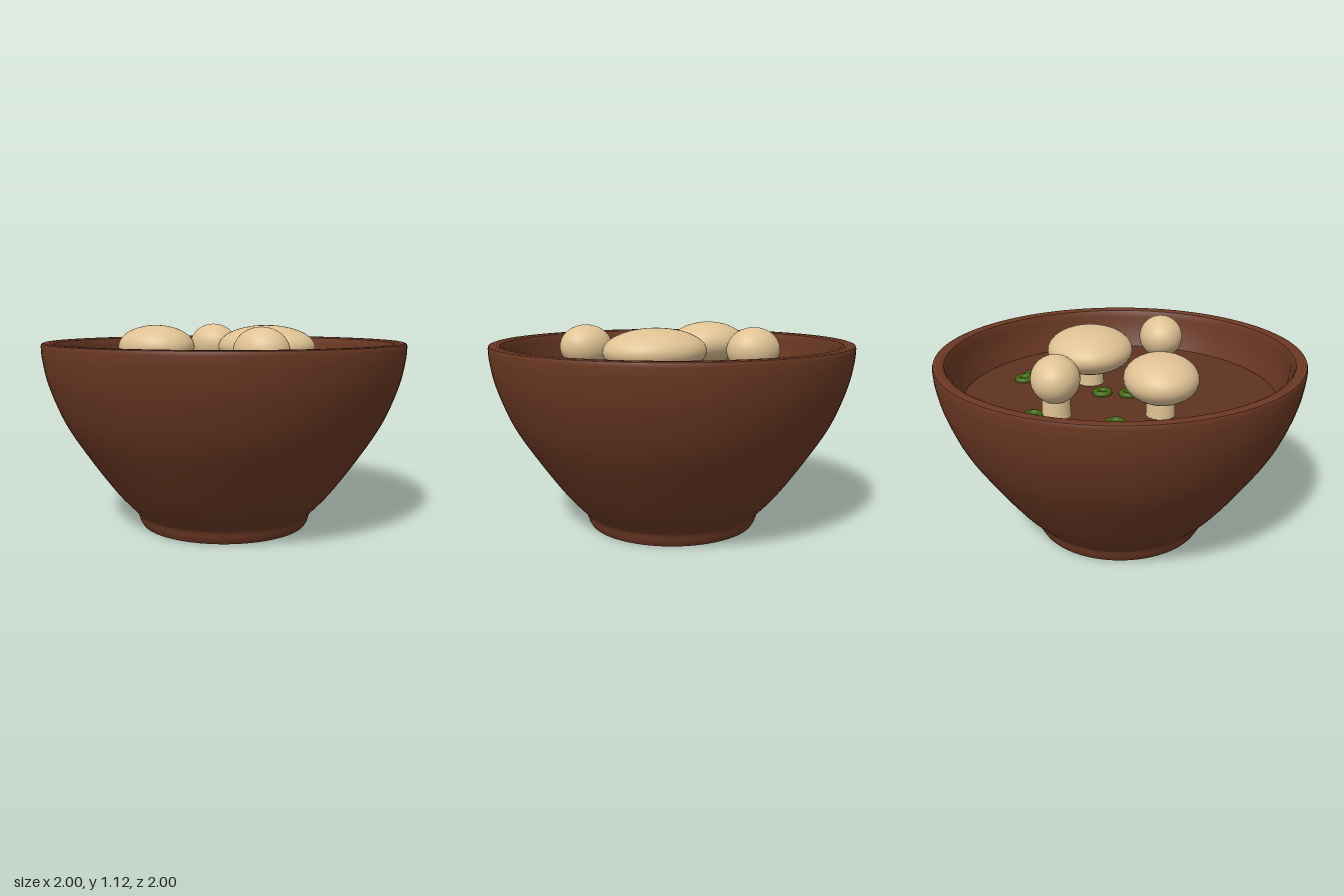
import * as THREE from 'three';
import { toCreasedNormals } from 'three/addons/utils/BufferGeometryUtils.js';

const material = (name, color) => {
  const m = new THREE.MeshStandardMaterial({ color });
  m.name = name;
  return m;
};

export function createModel() {
  const clay = material('bowl brown', 0x6b3823);
  const broth = material('broth brown', 0x5f3222);
  const cream = material('mushroom cream', 0xe0c294);
  const green = material('onion green', 0x42660f);

  const model = new THREE.Group();
  model.name = 'mushroomSoup';
  const SOUP_Y = 0.8;

  const add = (parent, name, geometry, mat, x = 0, y = 0, z = 0) => {
    const mesh = new THREE.Mesh(geometry, mat);
    mesh.name = name;
    mesh.position.set(x, y, z);
    parent.add(mesh);
    return mesh;
  };

  // Bowl: foot, curved outer wall, rounded lip and inner wall in one profile
  const outerWall = new THREE.SplineCurve([
    [0.5, 0.075], [0.615, 0.2], [0.76, 0.4], [0.885, 0.6], [0.965, 0.8], [0.995, 0.94], [1, 1.015],
  ].map(([r, y]) => new THREE.Vector2(r, y))).getPoints(28);
  const innerWall = new THREE.SplineCurve([
    [0.93, 1.0], [0.91, 0.9], [0.866, 0.78], [0.78, 0.6], [0.62, 0.36], [0.42, 0.16],
  ].map(([r, y]) => new THREE.Vector2(r, y))).getPoints(20);
  const at = (r, y) => new THREE.Vector2(r, y);
  const profile = [
    at(0, 0), at(0.47, 0), at(0.482, 0.02), at(0.49, 0.045), at(0.493, 0.065),
    ...outerWall,
    at(0.996, 1.026), at(0.985, 1.03), at(0.955, 1.03), at(0.94, 1.022),
    ...innerWall, at(0, 0.13),
  ];
  add(model, 'bowl', toCreasedNormals(new THREE.LatheGeometry(profile, 96), 0.6), clay);

  // Soup surface
  add(model, 'soup', new THREE.CylinderGeometry(0.866, 0.85, 0.04, 96), broth, 0, SOUP_Y - 0.02, 0);

  // Mushrooms: x, z, cap half width, cap half depth
  const mushrooms = [
    [0.18, -0.16, 0.285, 0.24],
    [-0.335, 0.19, 0.228, 0.193],
    [-0.315, -0.345, 0.15, 0.127],
    [0.41, 0.268, 0.15, 0.127],
  ];
  for (const [x, z, width, depth] of mushrooms) {
    const mushroom = new THREE.Group();
    mushroom.name = 'mushroom';
    mushroom.position.set(x, SOUP_Y, z);
    const cap = new THREE.SphereGeometry(1, 40, 28).scale(width, 0.122, depth);
    add(mushroom, 'mushroomCap', cap, cream, 0, 0.198, 0);
    const stem = new THREE.CylinderGeometry(0.068, 0.077, 0.22, 32);
    add(mushroom, 'mushroomStem', stem, cream, 0, 0.09, 0);
    model.add(mushroom);
  }

  // Floating onion rings
  const ring = new THREE.TorusGeometry(0.039, 0.017, 14, 32).rotateX(Math.PI / 2);
  const ringSpots = [
    [-0.335, -0.465], [0.228, -0.545], [0.305, -0.495], [-0.52, -0.18], [-0.455, -0.05],
    [-0.045, 0.045], [0.025, 0.1], [0.105, 0.365], [0.425, 0.178], [-0.02, -0.1],
  ];
  for (const [x, z] of ringSpots) add(model, 'onionRing', ring, green, x, SOUP_Y + 0.008, z);

  return model;
}
